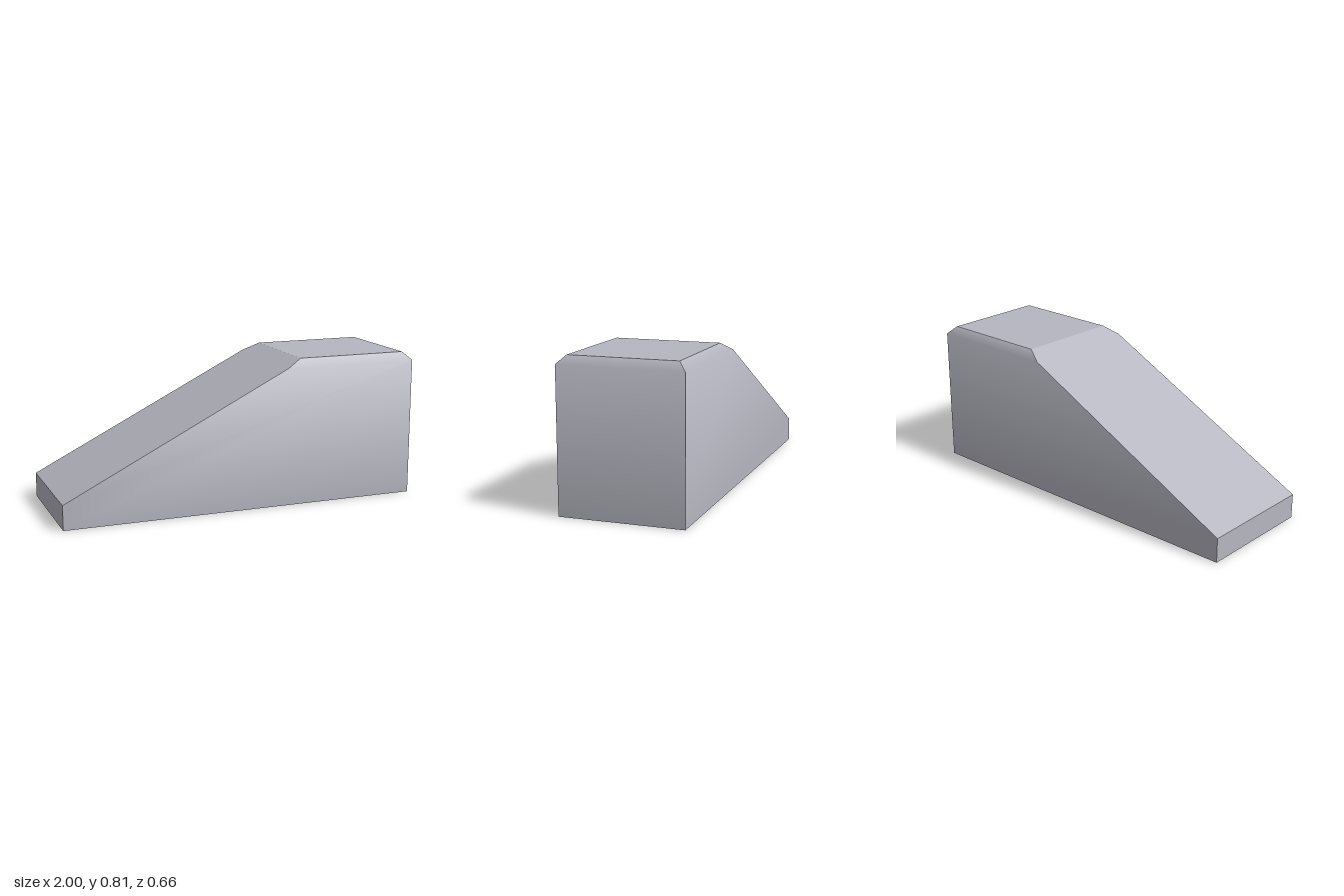
import * as THREE from 'three';
import { mergeGeometries } from 'three/addons/utils/BufferGeometryUtils.js';

const W = 0.332, WT = 0.29;       // half width of body and of roof
const H = 0.805, HB = 0.762;      // roof height, start of the bevel
const NOSE = 0.135;               // height of the low end
const XB = 0.249, XR = 0.336;     // slope meets bevel, slope meets roof
const XT = 0.957;                 // roof end before the rear bevel
const S = Math.SQRT1_2, C8 = Math.cos(Math.PI / 8), S8 = Math.sin(Math.PI / 8);

// Convex polygon as a triangle fan; one normal for all corners or one per corner
function face(points, normals) {
  const g = new THREE.BufferGeometry();
  const index = [];
  for (let i = 1; i < points.length - 1; i++) index.push(0, i, i + 1);
  const n = points.map((p, i) => (Array.isArray(normals[0]) ? normals[i] : normals));
  g.setAttribute('position', new THREE.Float32BufferAttribute(points.flat(), 3));
  g.setAttribute('normal', new THREE.Float32BufferAttribute(n.flat(), 3));
  g.setIndex(index);
  return g;
}

// Side wall with its bevel, softened where the two meet; s = 1 front, -1 back
function side(s) {
  const order = (a) => (s > 0 ? a : a.reverse());
  const put = (pts) => order(pts.map(([x, y, z]) => [x, y, z * s]));
  const flat = [0, 0, s], soft = [0, S8, C8 * s], bevel = [0, S, S * s];
  return mergeGeometries([
    face(put([[1, HB, W], [XB, HB, W], [-1, NOSE, W], [-1, 0, W], [1, 0, W]]),
      order([soft, soft, flat, flat, flat])),
    face(put([[XB, HB, W], [1, HB, W], [XT, H, WT], [XR, H, WT]]),
      order([soft, soft, bevel, bevel])),
  ]);
}

export function createModel() {
  const model = new THREE.Group();
  model.name = 'wedgeBlock';
  const grey = new THREE.MeshStandardMaterial({ color: 0xb6b6c1 });
  grey.name = 'pale grey';
  const add = (name, geometry) => {
    const mesh = new THREE.Mesh(geometry, grey);
    mesh.name = name;
    model.add(mesh);
  };

  add('frontSide', side(1));
  add('backSide', side(-1));

  // Tall end with its bevel
  const soft = [C8, S8, 0], bevel = [S, S, 0], flat = [1, 0, 0];
  add('tallEnd', mergeGeometries([
    face([[1, 0, W], [1, 0, -W], [1, HB, -W], [1, HB, W]], [flat, flat, soft, soft]),
    face([[1, HB, W], [1, HB, -W], [XT, H, -WT], [XT, H, WT]], [soft, soft, bevel, bevel]),
  ]));

  // Flat roof, ramp, low end and base
  add('roof', face([[XR, H, WT], [XT, H, WT], [XT, H, -WT], [XR, H, -WT]], [0, 1, 0]));
  const ramp = new THREE.Vector3(NOSE - H, XR + 1, 0).normalize().toArray();
  add('ramp', face([[-1, NOSE, W], [XB, HB, W], [XR, H, WT], [XR, H, -WT],
    [XB, HB, -W], [-1, NOSE, -W]], ramp));
  add('lowEnd', face([[-1, 0, -W], [-1, 0, W], [-1, NOSE, W], [-1, NOSE, -W]], [-1, 0, 0]));
  add('base', face([[-1, 0, -W], [1, 0, -W], [1, 0, W], [-1, 0, W]], [0, -1, 0]));
  return model;
}
